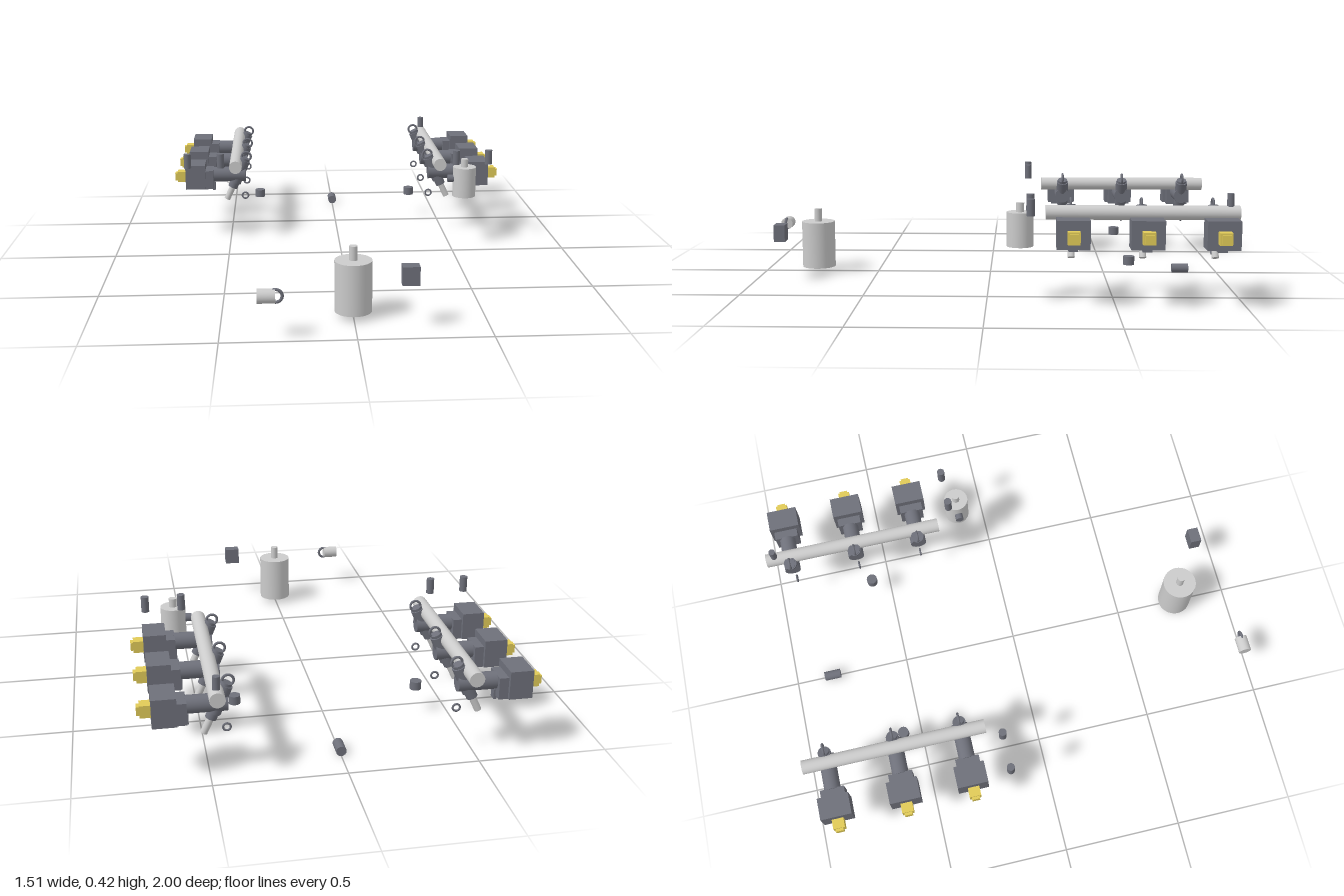
import * as THREE from 'three';

const light = new THREE.MeshStandardMaterial({ color: 0xcccccc });
const dark = new THREE.MeshStandardMaterial({ color: 0x6e707a });
const yellow = new THREE.MeshStandardMaterial({ color: 0xe0ca58 });

function add(parent, name, geometry, material, x, y, z) {
  const mesh = new THREE.Mesh(geometry, material);
  mesh.name = name;
  mesh.position.set(x, y, z);
  parent.add(mesh);
  return mesh;
}

const box = (parent, name, mat, [w, h, d], [x, y, z]) =>
  add(parent, name, new THREE.BoxGeometry(w, h, d), mat, x, y, z);

const ring = (parent, name, radius, tube, [x, y, z]) =>
  add(parent, name, new THREE.TorusGeometry(radius, tube, 10, 32), dark, x, y, z);

// Cylinder running between two points
function rod(parent, name, mat, radius, from, to) {
  const a = new THREE.Vector3(...from), b = new THREE.Vector3(...to);
  const dir = b.clone().sub(a);
  const mid = a.add(b).multiplyScalar(0.5);
  const mesh = add(parent, name, new THREE.CylinderGeometry(radius, radius, dir.length(), 32), mat, mid.x, mid.y, mid.z);
  mesh.quaternion.setFromUnitVectors(new THREE.Vector3(0, 1, 0), dir.normalize());
  return mesh;
}

// Upright canister with a short outlet on top
function canister(name, radius, bottom, top, outletTop, x, z) {
  const g = new THREE.Group();
  g.name = name;
  rod(g, name + 'Body', light, radius, [x, bottom, z], [x, top, z]);
  rod(g, name + 'Outlet', light, 0.016, [x, top, z], [x, outletTop, z]);
  return g;
}

// Injector on side s (+1 or -1), its plug pointing outward
function injector(s, z) {
  const g = new THREE.Group();
  g.name = 'injector';
  box(g, 'connectorHousing', dark, [0.09, 0.112, 0.128], [s * 0.658, 0.284, z]);
  box(g, 'housingStep', dark, [0.038, 0.086, 0.1], [s * 0.596, 0.268, z]);
  box(g, 'housingFoot', dark, [0.037, 0.014, 0.037], [s * 0.658, 0.223, z]);
  box(g, 'lockTab', dark, [0.012, 0.04, 0.03], [s * 0.576, 0.231, z]);
  box(g, 'plug', yellow, [0.044, 0.048, 0.048], [s * 0.721, 0.278, z]);
  box(g, 'plugTip', yellow, [0.014, 0.033, 0.033], [s * 0.747, 0.278, z]);
  rod(g, 'injectorBody', dark, 0.034, [s * 0.58, 0.284, z], [s * 0.428, 0.284, z]);
  // Slanted stem with nozzle below and sealing ring above
  rod(g, 'stem', dark, 0.027, [s * 0.478, 0.245, z], [s * 0.432, 0.35, z]);
  rod(g, 'collar', dark, 0.022, [s * 0.49, 0.222, z], [s * 0.428, 0.36, z]);
  rod(g, 'nozzle', light, 0.014, [s * 0.47, 0.265, z], [s * 0.517, 0.165, z]);
  ring(g, 'upperRing', 0.021, 0.005, [s * 0.424, 0.367, z]);
  ring(g, 'looseRing', 0.014, 0.004, [s * 0.432, 0.18, z]);
  return g;
}

export function createModel() {
  const model = new THREE.Group();
  model.name = 'fuelSystem';

  // Two mirrored banks: rail, three injectors and sensors
  for (const s of [-1, 1]) {
    const bank = new THREE.Group();
    bank.name = s > 0 ? 'leftBank' : 'rightBank';
    rod(bank, 'fuelRail', light, 0.029, [s * 0.472, 0.338, -1], [s * 0.472, 0.338, -0.232]);
    for (const z of [-0.333, -0.615, -0.9]) bank.add(injector(s, z));
    for (const x of [0.535, 0.683])
      rod(bank, 'uprightSensor', dark, 0.016, [s * x, 0.355, -0.17], [s * x, 0.42, -0.17]);
    rod(bank, 'lowerSensor', dark, 0.023, [s * 0.367, 0.108, -0.575], [s * 0.367, 0.143, -0.575]);
    model.add(bank);
  }

  // Valve on the left rail
  rod(model, 'railValve', dark, 0.014, [0.472, 0.355, -0.962], [0.472, 0.416, -0.962]);

  // Pressure regulator with side port
  const regulator = canister('regulator', 0.052, 0.219, 0.354, 0.39, 0.567, -0.13);
  rod(regulator, 'sidePort', dark, 0.017, [0.491, 0.3, -0.13], [0.53, 0.3, -0.13]);
  model.add(regulator);

  // Fuel pump and relay
  model.add(canister('pump', 0.072, 0.022, 0.224, 0.28, 0, 0.765));
  box(model, 'relay', dark, [0.065, 0.072, 0.047], [0.202, 0.206, 0.89]);

  // Small filter with ring
  rod(model, 'filter', light, 0.027, [-0.36, 0.164, 0.97], [-0.294, 0.164, 0.97]);
  ring(model, 'filterRing', 0.024, 0.006, [-0.293, 0.164, 0.97]);

  // Rear sensor lying on the floor
  rod(model, 'rearSensor', dark, 0.02, [0, 0.02, -0.874], [0, 0.02, -0.803]);
  return model;
}
